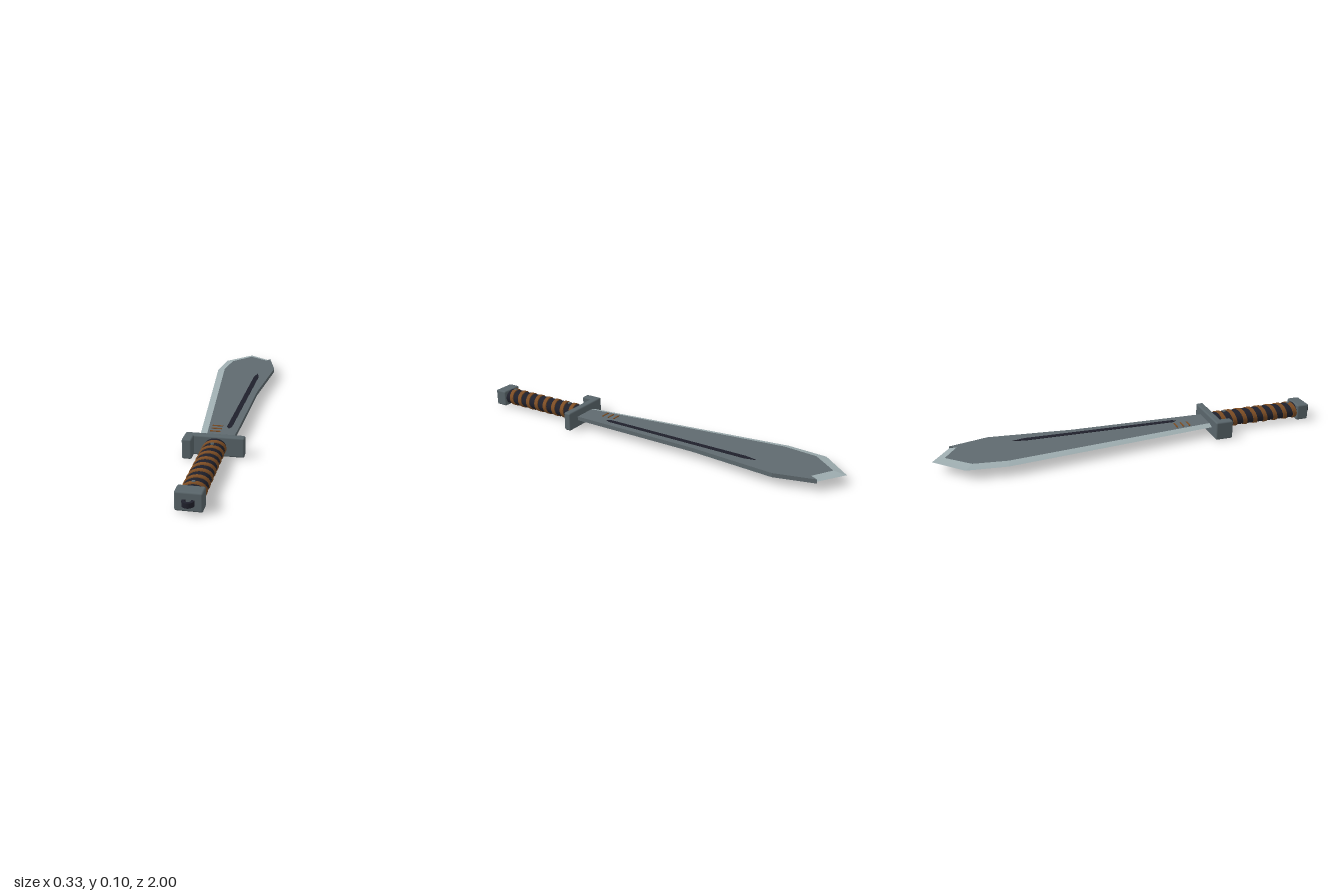
import * as THREE from 'three';
import { toCreasedNormals } from 'three/addons/utils/BufferGeometryUtils.js';
import { RoundedBoxGeometry } from 'three/addons/geometries/RoundedBoxGeometry.js';

const MID = 0.049;     // height of the blade's centre plane
const HALF = 0.01;     // half the blade thickness
const GRIP_X = 0.033;  // grip axis

const material = (name, color) => {
  const m = new THREE.MeshStandardMaterial({ color });
  m.name = name;
  return m;
};

// Flat plate from [x, z] points, centred on the blade plane
function plate(points, thickness, holes = []) {
  const shape = new THREE.Shape(points.map(([x, z]) => new THREE.Vector2(x, z)));
  shape.holes.push(...holes);
  const geo = new THREE.ExtrudeGeometry(shape, { depth: thickness, bevelEnabled: false, curveSegments: 10 });
  geo.rotateX(Math.PI / 2);
  geo.translate(0, MID + thickness / 2, 0);
  return geo;
}

// Sharpened bevels on both faces, between the cutting edge and the flat of the blade
function bevelGeometry(outer, inner) {
  const pos = [];
  for (const s of [1, -1]) {
    const O = outer.map(([x, z]) => [x, MID, z]);
    const I = inner.map(([x, z]) => [x, MID + s * HALF, z]);
    for (let i = 0; i < O.length - 1; i++) {
      const tris = [[O[i], I[i], O[i + 1]], [I[i], I[i + 1], O[i + 1]]];
      for (const [a, b, c] of tris) pos.push(...a, ...(s > 0 ? b : c), ...(s > 0 ? c : b));
    }
  }
  const geo = new THREE.BufferGeometry();
  geo.setAttribute('position', new THREE.Float32BufferAttribute(pos, 3));
  geo.computeVertexNormals();
  return geo;
}

// Strap wound in a helix around the oval grip
function strapGeometry(rx, ry, zStart, pitch, turns, halfWidth) {
  const section = [[-0.006, halfWidth], [0.004, halfWidth * 0.75], [0.004, -halfWidth * 0.75], [-0.006, -halfWidth]];
  const steps = Math.round(turns * 20), n = section.length;
  const pos = [], index = [];
  for (let i = 0; i <= steps; i++) {
    const t = (i / steps) * turns;
    const a = t * Math.PI * 2 - Math.PI / 2;
    for (const [dr, dz] of section) {
      pos.push(GRIP_X + (rx + dr) * Math.cos(a), MID + (ry + dr) * Math.sin(a), zStart + t * pitch + dz);
    }
    if (i === steps) break;
    for (let j = 0; j < n; j++) {
      const a0 = i * n + j, b0 = i * n + (j + 1) % n;
      index.push(a0, b0, a0 + n, b0, b0 + n, a0 + n);
    }
  }
  const geo = new THREE.BufferGeometry();
  geo.setAttribute('position', new THREE.Float32BufferAttribute(pos, 3));
  geo.setIndex(index);
  return toCreasedNormals(geo, 0.6);
}

export function createModel() {
  const model = new THREE.Group();
  model.name = 'machete';
  const steel = material('bladeSteel', 0x5f6a6f);
  const edge = material('sharpenedSteel', 0x9dacaf);
  const fitting = material('fittingSteel', 0x59656a);
  const dark = material('darkLeather', 0x1f202b);
  const brown = material('brownLeather', 0x7d4d24);

  const add = (name, geo, mat, x = 0, y = 0, z = 0, parent = model) => {
    const mesh = new THREE.Mesh(geo, mat);
    mesh.name = name;
    mesh.position.set(x, y, z);
    parent.add(mesh);
    return mesh;
  };

  // Blade: flat body with a thick spine, and a bevelled edge around the tip
  const inner = [[-0.02, 0.4], [-0.125, -0.66], [-0.105, -0.825], [-0.005, -0.94], [0.095, -0.875]];
  const outer = [[-0.052, 0.4], [-0.165, -0.665], [-0.145, -0.86], [-0.012, -1], [0.115, -0.91]];
  const spine = [[0.115, -0.91], [0.162, -0.72], [0.12, -0.3], [0.1, 0.4]];
  add('bladeBody', plate([...inner, ...spine], HALF * 2), steel);
  add('bladeEdge', bevelGeometry(outer, inner), edge);

  // Dark groove and three brown marks, on both faces
  const groove = [[0.08, -0.61], [0.093, -0.55], [0.072, 0.22], [0.06, 0.24], [0.048, 0.22], [0.066, -0.55]];
  add('bladeGroove', plate(groove, HALF * 2 + 0.003), dark);
  for (const z of [0.218, 0.252, 0.286]) {
    add('bladeMark', new THREE.BoxGeometry(0.05, 0.027, 0.007), brown, 0.004, MID, z);
  }

  // Guard with a hook turned back towards the hand
  const guard = new THREE.Group();
  guard.name = 'guard';
  model.add(guard);
  add('crossbar', new RoundedBoxGeometry(0.275, 0.096, 0.038, 2, 0.008), fitting, 0.0275, 0.048, 0.414, guard);
  add('guardHook', new RoundedBoxGeometry(0.045, 0.096, 0.09, 2, 0.008), fitting, -0.0875, 0.048, 0.442, guard);

  // Oval grip, wound with a strap
  const core = new THREE.CylinderGeometry(1, 1, 0.49, 24);
  core.rotateX(Math.PI / 2);
  core.scale(0.05, 0.039, 1);
  add('gripCore', core, dark, GRIP_X, MID, 0.67);
  add('gripStrap', strapGeometry(0.05, 0.039, 0.441, 0.0585, 8, 0.014), brown);

  // Pins through the grip
  for (const z of [0.5, 0.875]) {
    add('gripPin', new THREE.CylinderGeometry(0.008, 0.008, 0.09, 10), fitting, GRIP_X, MID, z);
  }

  // Pommel and cord ring
  add('pommel', new RoundedBoxGeometry(0.115, 0.084, 0.065, 2, 0.008), fitting, GRIP_X, MID, 0.937);
  const circle = Array.from({ length: 20 }, (_, i) => {
    const a = (i / 20) * Math.PI * 2;
    return [GRIP_X + 0.025 * Math.cos(a), 0.975 + 0.025 * Math.sin(a)];
  });
  const hole = new THREE.Path().absarc(GRIP_X, 0.975, 0.012, 0, Math.PI * 2, true);
  add('cordRing', plate(circle, 0.022, [hole]), dark);

  return model;
}
